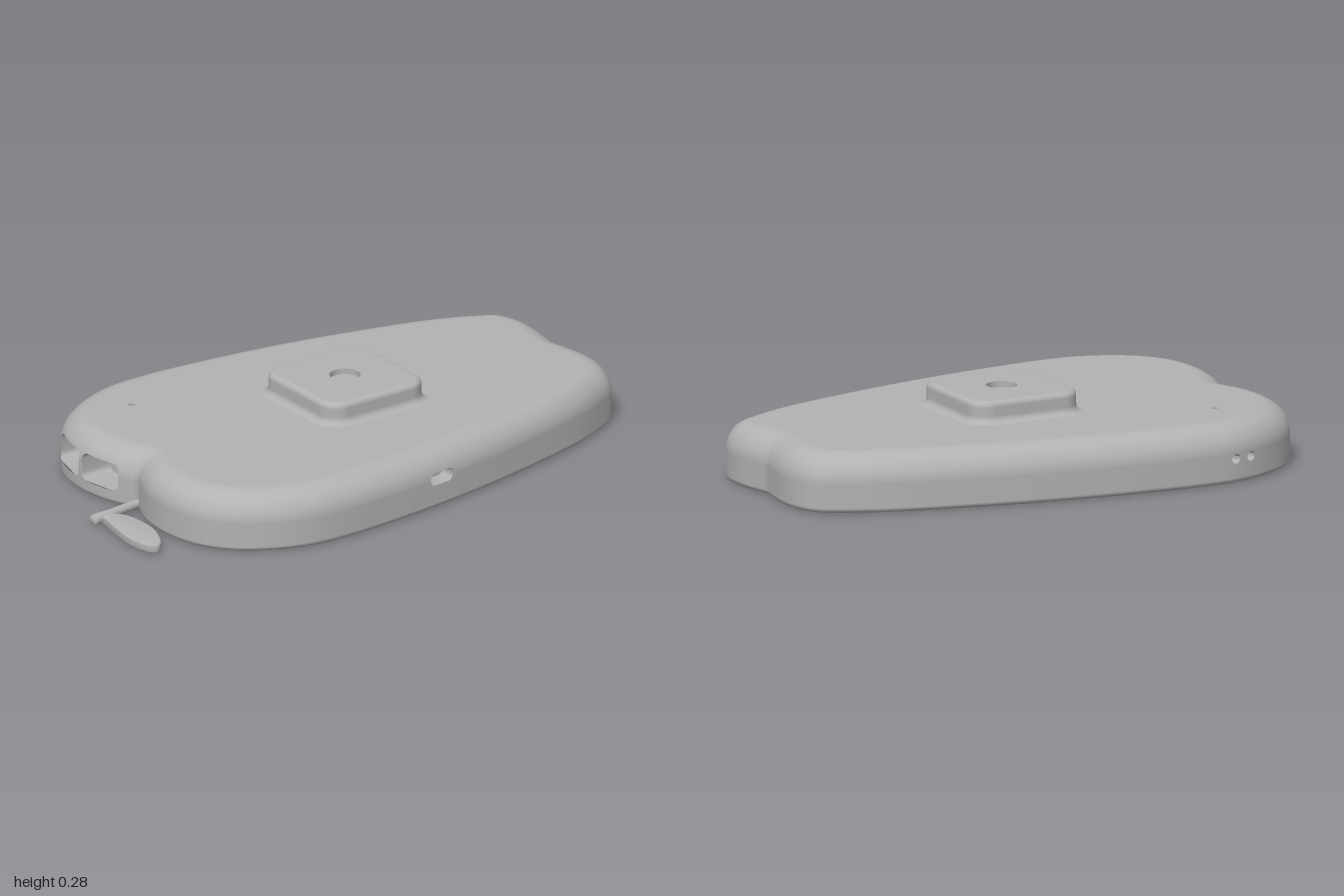
import * as THREE from 'three';
import { mergeGeometries, toCreasedNormals } from 'three/addons/utils/BufferGeometryUtils.js';

const V3 = (x, y, z) => new THREE.Vector3(x, y, z);
const H = 0.2, R = 0.1, RB = 0.018; // body height, top and bottom edge radius

// Half outline (x, z) from the back notch round to the front notch
const half = new THREE.CatmullRomCurve3([
  [0, -0.975], [0.05, -0.985], [0.16, -1], [0.25, -0.99], [0.32, -0.952], [0.37, -0.87], [0.43, -0.73],
  [0.505, -0.45], [0.56, -0.18], [0.6, 0.12], [0.615, 0.36], [0.605, 0.5], [0.56, 0.63], [0.48, 0.745],
  [0.38, 0.812], [0.25, 0.84], [0.12, 0.828], [0.04, 0.8], [0, 0.78],
].map(([x, z]) => V3(x, 0, z)), false, 'centripetal');
half.arcLengthDivisions = 1000;
const L = half.getLength();

// Point and normal on the body side at outline length s and height y
function surf(s, y) {
  const left = s > L;
  const t = THREE.MathUtils.clamp((left ? 2 * L - s : s) / L, 0, 1);
  const p = half.getPointAt(t), d = half.getTangentAt(t);
  let n = V3(d.z, 0, -d.x);
  if (t < 1e-5) n = V3(0, 0, -1);
  if (t > 1 - 1e-5) n = V3(0, 0, 1);
  if (left) { p.x *= -1; n.x *= -1; }
  let sin = 0, r = 0;
  if (y > H - R) { r = R; sin = (y - H + R) / R; }
  if (y < RB) { r = RB; sin = (y - RB) / RB; }
  const cos = Math.sqrt(Math.max(0, 1 - sin * sin));
  p.addScaledVector(n, -r * (1 - cos)).setY(y);
  n.multiplyScalar(cos).setY(sin);
  return { p, n };
}

// Outline length where a test on the right half first holds
function findS(test) {
  for (let i = 0; i <= 3000; i++) if (test(half.getPointAt(i / 3000))) return (i / 3000) * L;
  return L;
}
const sAtZ = z => findS(p => p.z >= z);
const sAtFrontX = x => findS(p => p.z > 0.6 && p.x <= x);

function makeGeometry(pos, index, normals) {
  const g = new THREE.BufferGeometry();
  g.setAttribute('position', new THREE.Float32BufferAttribute(pos, 3));
  g.setIndex(index);
  if (normals) g.setAttribute('normal', new THREE.Float32BufferAttribute(normals, 3));
  else g.computeVertexNormals();
  return g;
}

// Skin over closed rings of equal length
function loft(rings) {
  const n = rings[0].length, index = [];
  for (let j = 0; j < rings.length - 1; j++) for (let i = 0; i < n; i++) {
    const k = (i + 1) % n, a = j * n + i, b = j * n + k;
    index.push(a, a + n, b + n, a, b + n, b);
  }
  return makeGeometry(rings.flat().flatMap(p => p.toArray()), index);
}

// Rounded rectangle points, counter-clockwise
function roundRect(cx, cy, w, h, r, steps = 8) {
  const pts = [];
  [[1, 1], [-1, 1], [-1, -1], [1, -1]].forEach(([sx, sy], q) => {
    for (let i = 0; i <= steps; i++) {
      const a = (q + i / steps) * Math.PI / 2;
      pts.push(new THREE.Vector2(cx + sx * (w / 2 - r) + r * Math.cos(a), cy + sy * (h / 2 - r) + r * Math.sin(a)));
    }
  });
  return pts;
}
const circle = (cx, cz, r) => roundRect(cx, cz, 2 * r, 2 * r, r * 0.99);
const lift = (pts, y) => pts.map(p => V3(p.x, y, p.y));

// Flat cap in the xz plane, facing up or down, with holes
function cap(pts, y, up, holes = []) {
  const f = p => new THREE.Vector2(p.x, up ? -p.y : p.y);
  const shape = new THREE.Shape(pts.map(f));
  shape.holes = holes.map(h => new THREE.Path(h.map(f)));
  const g = new THREE.ShapeGeometry(shape).rotateX(up ? -Math.PI / 2 : Math.PI / 2).translate(0, y, 0);
  return g.deleteAttribute('uv');
}

// Round recess sunk into a top face
function recess(ring, y, depth) {
  const c = ring.reduce((a, p) => a.add(p), new THREE.Vector2()).divideScalar(ring.length);
  const low = lift(ring, y - depth);
  return toCreasedNormals(loft([lift(ring, y), low, low.map(() => V3(c.x, y - depth, c.y))]), 0.6);
}

export function createModel() {
  const model = new THREE.Group();
  const grey = new THREE.MeshStandardMaterial({ color: 0xb2b2b2 });
  grey.name = 'grey plastic';
  const add = (name, geometry) => {
    const m = new THREE.Mesh(geometry, grey);
    m.name = name;
    model.add(m);
    return m;
  };

  // Openings in the side wall: length range, height range, corner radius, depth, inward direction
  const inX = V3(-1, 0, 0), inZ = V3(0, 0, -1), inL = V3(0.94, 0, -0.34);
  const openings = [
    ['frontPort', 2 * L - sAtFrontX(0.255), 2 * L - sAtFrontX(0.425), 0.048, 0.142, 0.022, 0.12, inZ],
    ['frontPort', 2 * L - sAtFrontX(0.07), 2 * L - sAtFrontX(0.24), 0.048, 0.142, 0.022, 0.12, inZ],
    ['sideSlot', sAtZ(-0.108), sAtZ(-0.006), 0.082, 0.128, 0.022, 0.06, inX],
    ['smallHole', 2 * L - sAtZ(0.5), 2 * L - sAtZ(0.465), 0.067, 0.101, 0.016, 0.04, inL],
    ['smallHole', 2 * L - sAtZ(0.565), 2 * L - sAtZ(0.53), 0.067, 0.101, 0.016, 0.04, inL],
  ].map(([name, sa, sb, y0, y1, r, depth, dir]) =>
    ({ name, s0: Math.min(sa, sb), s1: Math.max(sa, sb), y0, y1, r, depth, dir }));

  // Body side wall as a grid, leaving out the openings
  const sList = Array.from({ length: 240 }, (_, i) => i / 120 * L);
  const yList = [];
  for (let i = 0; i <= 5; i++) yList.push(RB * (1 - Math.cos(i / 5 * Math.PI / 2)));
  for (let i = 0; i <= 14; i++) yList.push(H - R + R * Math.sin(i / 14 * Math.PI / 2));
  openings.forEach(o => { sList.push(o.s0, o.s1); yList.push(o.y0, o.y1); });
  sList.sort((a, b) => a - b);
  yList.sort((a, b) => a - b);
  const pos = [], nor = [], index = [], n = sList.length;
  for (const y of yList) for (const s of sList) {
    const q = surf(s, y);
    pos.push(...q.p.toArray());
    nor.push(...q.n.toArray());
  }
  for (let j = 0; j < yList.length - 1; j++) for (let i = 0; i < n; i++) {
    const k = (i + 1) % n, s = (sList[i] + (k ? sList[k] : 2 * L)) / 2, y = (yList[j] + yList[j + 1]) / 2;
    if (openings.some(o => s > o.s0 && s < o.s1 && y > o.y0 && y < o.y1)) continue;
    const a = j * n + i, b = j * n + k;
    index.push(a, a + n, b + n, a, b + n, b);
  }
  add('bodySide', makeGeometry(pos, index, nor));

  // Rounded rims and pockets of the openings
  for (const o of openings) {
    const cs = (o.s0 + o.s1) / 2, cy = (o.y0 + o.y1) / 2, w = o.s1 - o.s0, h = o.y1 - o.y0;
    const hole = roundRect(cs, cy, w - 0.001, h - 0.001, Math.min(o.r, w / 2 - 0.001));
    const rect = new THREE.Shape([[o.s0, o.y0], [o.s1, o.y0], [o.s1, o.y1], [o.s0, o.y1]].map(c => new THREE.Vector2(...c)));
    rect.holes.push(new THREE.Path(hole));
    const flat = new THREE.ShapeGeometry(rect), fp = flat.attributes.position, rp = [], rn = [];
    for (let i = 0; i < fp.count; i++) {
      const q = surf(fp.getX(i), fp.getY(i));
      rp.push(...q.p.toArray());
      rn.push(...q.n.toArray());
    }
    add(o.name + 'Rim', makeGeometry(rp, Array.from(flat.index.array).reverse(), rn));
    const lip = hole.map(p => surf(p.x, p.y).p);
    const deep = lip.map(p => p.clone().addScaledVector(o.dir, o.depth));
    const mid = surf(cs, cy).p.addScaledVector(o.dir, o.depth);
    add(o.name, toCreasedNormals(loft([lip, deep, deep.map(() => mid)]), 0.6));
  }

  // Top face with a pinhole
  const ringAt = y => sList.map(s => { const { p } = surf(s, y); return new THREE.Vector2(p.x, p.z); });
  const pin = circle(-0.36, 0.54, 0.012);
  add('bodyTop', cap(ringAt(H), H, true, [pin]));
  add('pinhole', recess(pin, H, 0.03));

  // Underside with two covers set in narrow grooves
  const covers = [[0.295, 0.89, 0.87], [-0.5, 0.73, 0.425]];
  add('underside', cap(ringAt(0), 0, false, covers.map(([z, w, d]) => roundRect(0, z, w, d, 0.02))));
  for (const [z, w, d] of covers) {
    add('coverGroove', cap(roundRect(0, z, w + 0.006, d + 0.006, 0.02), 0.01, false));
    const ring = roundRect(0, z, w - 0.012, d - 0.012, 0.015);
    add('cover', mergeGeometries([cap(ring, 0, false), loft([lift(ring, 0), lift(ring, 0.01)])]));
  }

  // Raised square housing: flared foot, rounded top edge
  const bz = -0.08, rings = [];
  const section = (off, y) => rings.push(lift(roundRect(0, bz, 0.406 + 2 * off, 0.406 + 2 * off, 0.07 + off), y));
  for (let i = 0; i <= 6; i++) {
    const a = i / 6 * Math.PI / 2;
    section(0.025 * (1 - Math.sin(a)), 0.2 + 0.025 * (1 - Math.cos(a)));
  }
  for (let i = 0; i <= 6; i++) {
    const a = i / 6 * Math.PI / 2;
    section(-0.02 * (1 - Math.cos(a)), 0.256 + 0.02 * Math.sin(a));
  }
  add('housingSide', loft(rings));
  const dimple = circle(0, bz, 0.052);
  add('housingTop', cap(roundRect(0, bz, 0.366, 0.366, 0.05), 0.276, true, [dimple]));
  add('housingRecess', recess(dimple, 0.276, 0.02));

  // Stem
  const from = V3(-0.003, 0.023, 0.76), to = V3(0.03, 0.023, 0.993);
  const stemProfile = [[0, 0], [0.016, 0], [0.016, 0.15], [0.02, 0.222], [0.016, 0.234], [0, 0.235]];
  const stem = add('stem', new THREE.LatheGeometry(stemProfile.map(p => new THREE.Vector2(...p)), 24));
  stem.position.copy(from);
  stem.quaternion.setFromUnitVectors(V3(0, 1, 0), to.sub(from).normalize());

  // Leaf
  const leafShape = new THREE.Shape();
  leafShape.moveTo(0.03, -0.93);
  leafShape.splineThru([[0.075, -0.892], [0.14, -0.881], [0.22, -0.886], [0.3, -0.917], [0.341, -0.952], [0.315, -0.978],
    [0.24, -0.988], [0.15, -0.975], [0.07, -0.957], [0.03, -0.95]].map(p => new THREE.Vector2(...p)));
  const leaf = new THREE.ExtrudeGeometry(leafShape, {
    depth: 0.02, bevelThickness: 0.006, bevelSize: 0.006, bevelSegments: 3, curveSegments: 6,
  }).rotateX(-Math.PI / 2).translate(0, 0.008, 0);
  add('leaf', toCreasedNormals(leaf, 0.6));

  return model;
}
